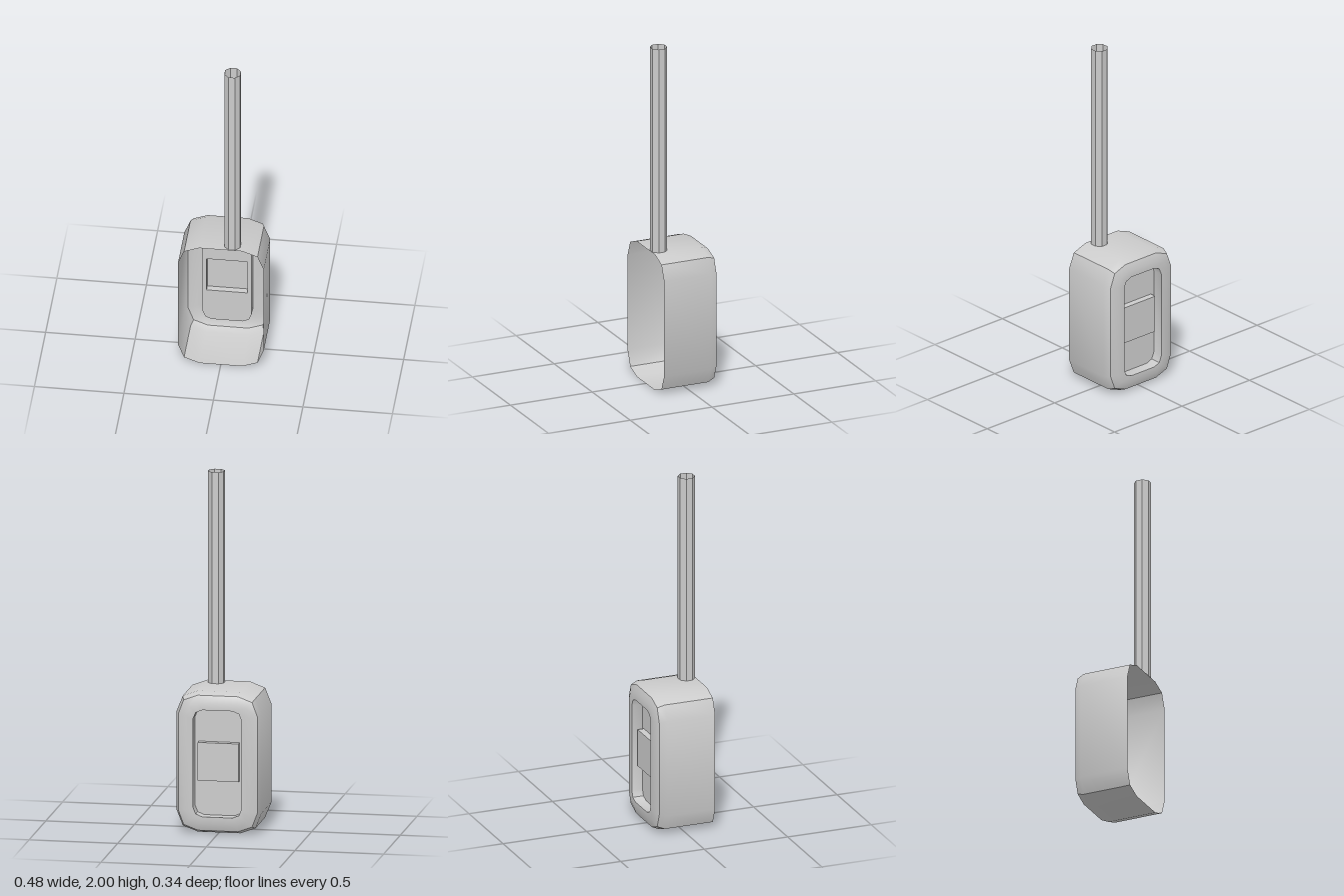
import * as THREE from 'three';
import { toCreasedNormals } from 'three/addons/utils/BufferGeometryUtils.js';

const material = new THREE.MeshStandardMaterial({ color: 0xcccccc, side: THREE.DoubleSide });
const flatMaterial = new THREE.MeshStandardMaterial({ color: 0xcccccc, side: THREE.DoubleSide, flatShading: true });
const MID = 0.4; // height of the housing's centre

// Twelve-sided rounded rectangle: half sizes w, h; corner built from a long cut and a short cut
function outline(w, h, cutX, cutY, midX, midY, z) {
  const corner = [[w, h - cutY], [w - midX, h - midY], [w - cutX, h]];
  const points = [];
  [[1, 1], [-1, 1], [-1, -1], [1, -1]].forEach(([sx, sy]) => {
    const list = sx * sy > 0 ? corner : [...corner].reverse();
    list.forEach(([x, y]) => points.push([sx * x, MID + sy * y, z]));
  });
  return points;
}

// Skin between successive rings, with an optional cap on the last ring
function loft(rings, cap) {
  const n = rings[0].length;
  const index = [];
  for (let r = 0; r < rings.length - 1; r++) {
    for (let i = 0; i < n; i++) {
      const a = r * n + i, b = r * n + (i + 1) % n;
      index.push(a, a + n, b, b, a + n, b + n);
    }
  }
  const last = (rings.length - 1) * n;
  if (cap) for (let i = 1; i < n - 1; i++) index.push(last, last + i + 1, last + i);
  const geometry = new THREE.BufferGeometry();
  geometry.setAttribute('position', new THREE.Float32BufferAttribute(rings.flat(2), 3));
  geometry.setIndex(index);
  return toCreasedNormals(geometry, 0.58);
}

export function createModel() {
  const group = new THREE.Group();
  const add = (name, geometry, mat) => {
    const mesh = new THREE.Mesh(geometry, mat);
    mesh.name = name;
    group.add(mesh);
    return mesh;
  };

  // Shell open at the front, bevelled at the back and folded into a recess
  add('housing', loft([
    outline(0.24, 0.4, 0.12, 0.12, 0.035, 0.032, 0.172),
    outline(0.24, 0.4, 0.12, 0.12, 0.035, 0.032, -0.115),
    outline(0.223, 0.383, 0.11, 0.11, 0.03, 0.03, -0.156),
    outline(0.182, 0.342, 0.075, 0.075, 0.022, 0.022, -0.173),
    outline(0.137, 0.303, 0.052, 0.052, 0.015, 0.015, -0.173),
    outline(0.137, 0.303, 0.052, 0.052, 0.015, 0.015, -0.11),
  ], false), material);

  // Recess floor with a window for the hollow button
  const floor = new THREE.Shape(
    outline(0.137, 0.303, 0.052, 0.052, 0.015, 0.015, 0).map(([x, y]) => new THREE.Vector2(x, y)));
  const rect = [[-0.115, 0.297], [0.115, 0.297], [0.115, 0.513], [-0.115, 0.513]];
  floor.holes.push(new THREE.Path(rect.map(([x, y]) => new THREE.Vector2(x, y))));
  add('recessFloor', new THREE.ShapeGeometry(floor), flatMaterial).position.z = -0.11;

  // Button standing out of the recess floor, hollow on the inside
  add('button', loft([-0.11, -0.147].map(z => rect.map(([x, y]) => [x, y, z])), true), flatMaterial);

  // Open eight-sided tube on top
  const tube = new THREE.CylinderGeometry(0.048, 0.048, 1.2, 8, 1, true);
  tube.rotateY(Math.PI / 8);
  add('cordTube', tube, flatMaterial).position.set(0.06, 1.4, 0.122);

  return group;
}
